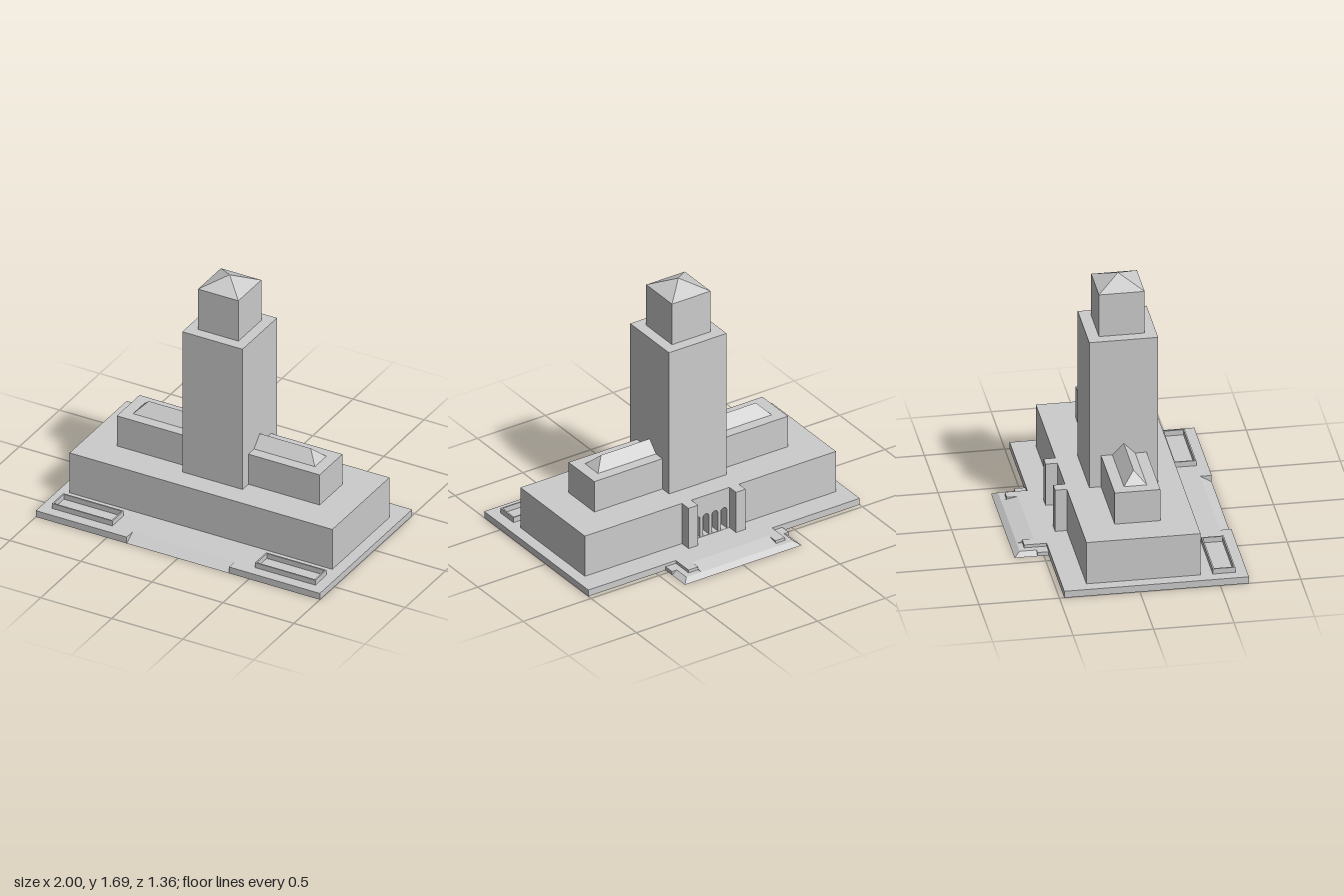
import * as THREE from 'three';

const mat = new THREE.MeshStandardMaterial({ color: 0xcccccc, flatShading: true });
const CZ = 0.033; // tower axis

export function createModel() {
  const model = new THREE.Group();

  const add = (name, geometry) => {
    const mesh = new THREE.Mesh(geometry, mat);
    mesh.name = name;
    model.add(mesh);
    return mesh;
  };

  // Box given by its limits
  const block = (name, x0, x1, y0, y1, z0, z1) =>
    add(name, new THREE.BoxGeometry(x1 - x0, y1 - y0, z1 - z0)
      .translate((x0 + x1) / 2, (y0 + y1) / 2, (z0 + z1) / 2));

  // Solid with a rectangular foot and a smaller rectangle (or ridge, or point) on top
  const tapered = (name, y0, y1, foot, top) => {
    const g = new THREE.BoxGeometry(1, 1, 1).toNonIndexed();
    const p = g.attributes.position;
    for (let i = 0; i < p.count; i++) {
      const r = p.getY(i) > 0 ? top : foot;
      p.setXYZ(i, p.getX(i) < 0 ? r[0] : r[1], p.getY(i) > 0 ? y1 : y0, p.getZ(i) < 0 ? r[2] : r[3]);
    }
    g.computeVertexNormals();
    return add(name, g);
  };

  const shapeOf = (pts) => new THREE.Shape(pts.map(([a, b]) => new THREE.Vector2(a, b)));

  // Plan outline in x, z, mirrored across x = 0 and raised from y0 to y1
  const plan = (name, half, y0, y1, hole) => {
    const pts = [...half, ...half.map(([x, z]) => [-x, z]).reverse()].map(([x, z]) => [x, -z]);
    const shape = shapeOf(pts);
    if (hole) shape.holes.push(hole);
    return add(name, new THREE.ExtrudeGeometry(shape, { depth: y1 - y0, bevelEnabled: false })
      .rotateX(-Math.PI / 2).translate(0, y0, 0));
  };

  // Side profile in z, y, stretched along x
  const ramp = (name, halfWidth, pts) =>
    add(name, new THREE.ExtrudeGeometry(shapeOf(pts.map(([z, y]) => [-z, y])),
      { depth: halfWidth * 2, bevelEnabled: false })
      .rotateY(Math.PI / 2).translate(-halfWidth, 0, 0));

  // Terrace with a notch for the front ramp and two short arms at the back
  plan('terrace', [
    [0.36, 0.605], [0.36, 0.677], [1, 0.677], [1, -0.47],
    [0.355, -0.47], [0.355, -0.61], [0.285, -0.61], [0.285, -0.54],
  ], 0, 0.045);
  ramp('frontRamp', 0.36, [[0.605, 0], [0.677, 0], [0.605, 0.045]]);

  // Lower back landing with sloping edges
  block('backLanding', -0.43, 0.43, 0, 0.025, -0.54, -0.465);
  tapered('backLandingSlope', 0, 0.025, [-0.43, 0.43, -0.682, -0.54], [-0.395, 0.395, -0.645, -0.54]);
  ramp('backRamp', 0.285, [[-0.54, 0.01], [-0.54, 0.045], [-0.645, 0.025], [-0.645, 0.01]]);

  // Main block with two pylons flanking a recessed porch
  plan('mainBlock', [
    [0.925, 0.39], [0.925, -0.32], [0.21, -0.32], [0.21, -0.393],
    [0.14, -0.393], [0.14, -0.26],
  ], 0.045, 0.33);

  // Arcade across the porch
  const arcade = shapeOf([[-0.14, 0.045], [0.14, 0.045], [0.14, 0.33], [-0.14, 0.33]]);
  for (let i = 0; i < 4; i++) {
    const x = (i - 1.5) * 0.066;
    const arch = new THREE.Path();
    arch.moveTo(x - 0.023, 0.047);
    arch.lineTo(x + 0.023, 0.047);
    arch.lineTo(x + 0.023, 0.175);
    arch.absarc(x, 0.175, 0.023, 0, Math.PI, false);
    arch.closePath();
    arcade.holes.push(arch);
  }
  add('arcade', new THREE.ExtrudeGeometry(arcade, { depth: 0.06, bevelEnabled: false, curveSegments: 8 })
    .translate(0, 0, -0.32));

  // Upper wings with hipped roofs, and planters, on both sides
  for (const s of [-1, 1]) {
    const span = (a, b) => (s > 0 ? [a, b] : [-b, -a]);
    const side = s > 0 ? 'left' : 'right';
    block(side + 'Wing', ...span(0.2, 0.714), 0.33, 0.545, -0.108, 0.175);
    tapered(side + 'WingRoof', 0.545, 0.618, [...span(0.2, 0.64), CZ - 0.071, CZ + 0.071],
      [...span(0.2, 0.57), CZ, CZ]);

    const [x0, x1] = span(0.502, 0.927);
    const rim = shapeOf([[x0, -0.605], [x1, -0.605], [x1, -0.465], [x0, -0.465]]);
    const t = 0.009;
    rim.holes.push(shapeOf([[x0 + t, -0.605 + t], [x0 + t, -0.465 - t], [x1 - t, -0.465 - t], [x1 - t, -0.605 + t]]));
    add(side + 'Planter', new THREE.ExtrudeGeometry(rim, { depth: 0.035, bevelEnabled: false })
      .rotateX(-Math.PI / 2).translate(0, 0.045, 0));
  }

  // Tower, lantern and pyramid roof
  block('tower', -0.212, 0.212, 0.33, 1.332, CZ - 0.214, CZ + 0.214);
  block('lantern', -0.142, 0.142, 1.332, 1.62, CZ - 0.142, CZ + 0.142);
  tapered('towerRoof', 1.62, 1.69, [-0.142, 0.142, CZ - 0.142, CZ + 0.142], [0, 0, CZ, CZ]);

  return model;
}
